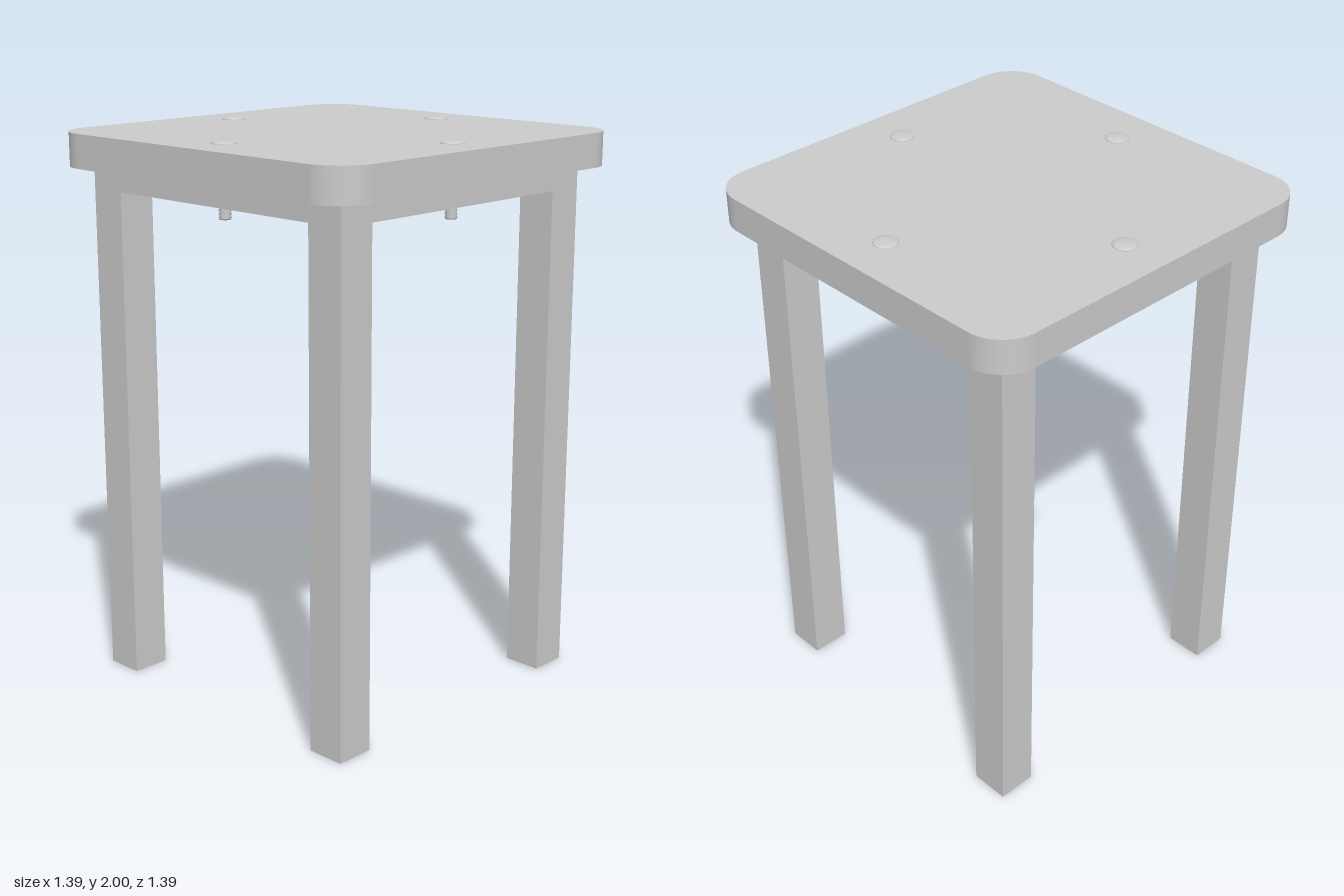
import * as THREE from 'three';

const material = new THREE.MeshStandardMaterial({ color: 0xcccccc });

const LEG = 0.14;          // square leg and rail width
const OFFSET = 0.527;      // distance of legs, rails and bolts from the centre
const SEAT_BOTTOM = 1.87;
const SEAT_TOP = 1.99;
const RAIL_BOTTOM = 1.79;

function addMesh(parent, name, geometry, x = 0, y = 0, z = 0) {
  const mesh = new THREE.Mesh(geometry, material);
  mesh.name = name;
  mesh.position.set(x, y, z);
  parent.add(mesh);
  return mesh;
}

// Square slab with rounded corners, lying flat
function seatGeometry(half, radius) {
  const inner = half - radius;
  const shape = new THREE.Shape();
  shape.absarc(inner, inner, radius, 0, Math.PI / 2);
  shape.absarc(-inner, inner, radius, Math.PI / 2, Math.PI);
  shape.absarc(-inner, -inner, radius, Math.PI, Math.PI * 1.5);
  shape.absarc(inner, -inner, radius, Math.PI * 1.5, Math.PI * 2);
  shape.closePath();
  return new THREE.ExtrudeGeometry(shape, {
    depth: SEAT_TOP - SEAT_BOTTOM, bevelEnabled: false, curveSegments: 10,
  }).rotateX(-Math.PI / 2);
}

// Shallow domed bolt head
function boltHeadGeometry(radius, height) {
  const points = [new THREE.Vector2(radius, 0)];
  for (let i = 0; i <= 6; i++) {
    const a = (i / 6) * Math.PI / 2;
    points.push(new THREE.Vector2(radius * Math.cos(a), 0.002 + (height - 0.002) * Math.sin(a)));
  }
  return new THREE.LatheGeometry(points, 32);
}

// Shank with ridges on the exposed tip
function boltShankGeometry(bottom, top) {
  const points = [new THREE.Vector2(0, bottom), new THREE.Vector2(0.018, bottom)];
  const ridges = 5, pitch = 0.012;
  for (let i = 0; i < ridges; i++) {
    points.push(new THREE.Vector2(0.022, bottom + (i + 0.5) * pitch));
    points.push(new THREE.Vector2(0.018, bottom + (i + 1) * pitch));
  }
  points.push(new THREE.Vector2(0.018, top));
  return new THREE.LatheGeometry(points, 20);
}

export function createModel() {
  const stool = new THREE.Group();
  stool.name = 'stool';

  addMesh(stool, 'seat', seatGeometry(0.697, 0.14), 0, SEAT_BOTTOM, 0);

  // Four straight legs
  const legGeometry = new THREE.BoxGeometry(LEG, SEAT_BOTTOM, LEG);
  for (const [side, x] of [['Left', OFFSET], ['Right', -OFFSET]]) {
    for (const [end, z] of [['front', OFFSET], ['back', -OFFSET]]) {
      addMesh(stool, `${end}${side}Leg`, legGeometry, x, SEAT_BOTTOM / 2, z);
    }
  }

  // One rail with its bolt on each side
  const railHeight = SEAT_BOTTOM - RAIL_BOTTOM;
  const railGeometry = new THREE.BoxGeometry(2 * OFFSET - LEG, railHeight, LEG);
  const headGeometry = boltHeadGeometry(0.042, 2 - SEAT_TOP);
  const shankGeometry = boltShankGeometry(1.74, SEAT_TOP);
  ['front', 'left', 'back', 'right'].forEach((side, i) => {
    const assembly = new THREE.Group();
    assembly.name = `${side}RailAssembly`;
    assembly.rotation.y = i * Math.PI / 2;
    addMesh(assembly, `${side}Rail`, railGeometry, 0, RAIL_BOTTOM + railHeight / 2, OFFSET);
    addMesh(assembly, `${side}BoltHead`, headGeometry, 0, SEAT_TOP, OFFSET);
    addMesh(assembly, `${side}BoltShank`, shankGeometry, 0, 0, OFFSET);
    stool.add(assembly);
  });

  return stool;
}
